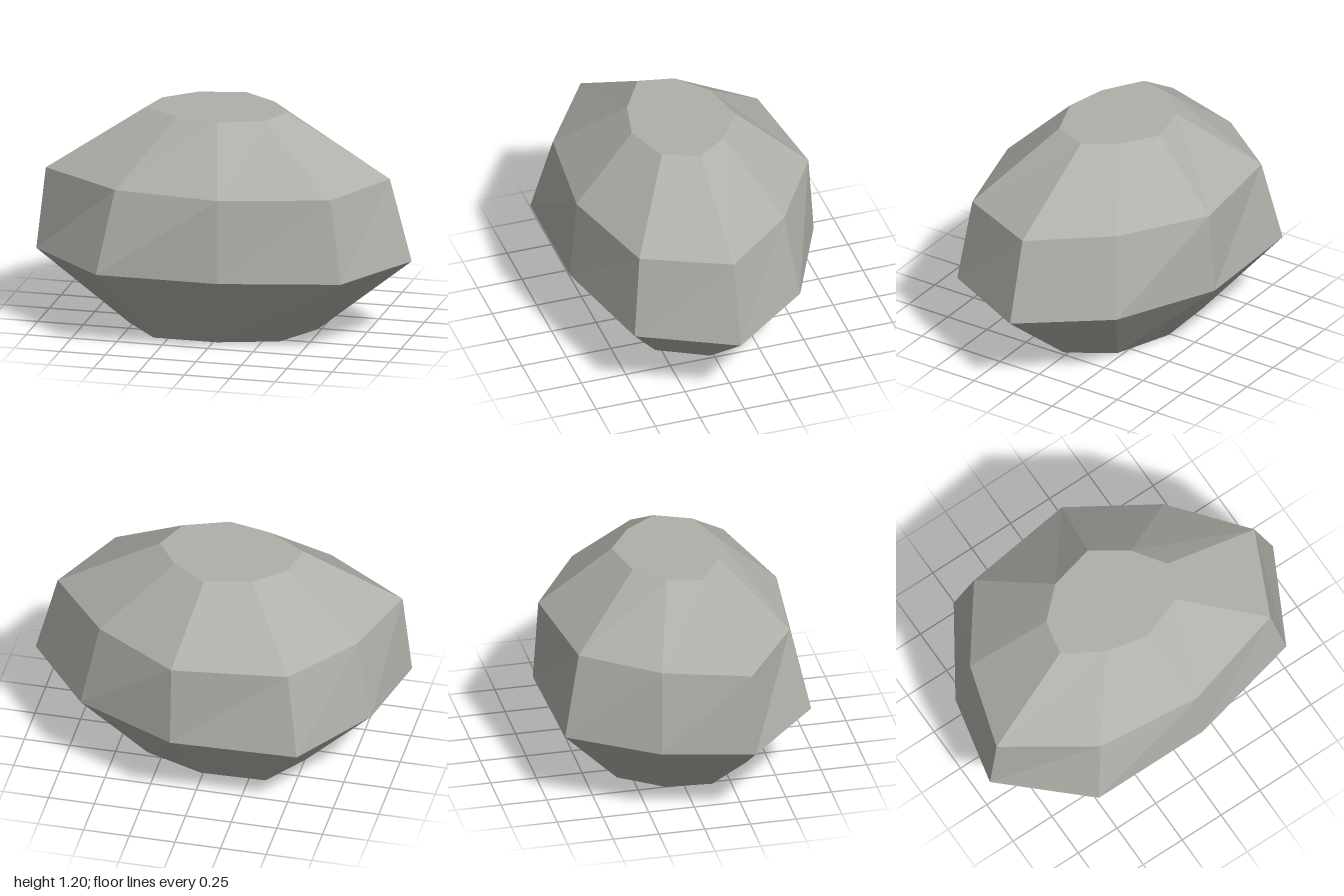
import * as THREE from 'three';

// Horizontal cross-sections of the boulder, bottom to top: [x, z] corners,
// running counter-clockwise as seen from above.
const SECTIONS = [
  { y: 0, ring: [[0.48, 0.02], [0.33, -0.22], [0.01, -0.34], [-0.34, -0.33], [-0.5, -0.1], [-0.52, 0.15], [-0.33, 0.38], [0.02, 0.38], [0.34, 0.28]] },
  { y: 0.42, ring: [[1, 0.02], [0.65, -0.43], [0.1, -0.69], [-0.59, -0.67], [-0.89, -0.21], [-1, 0.28], [-0.57, 0.68], [0.1, 0.68], [0.74, 0.53]] },
  { y: 0.87, ring: [[0.88, 0.02], [0.56, -0.37], [0.1, -0.66], [-0.52, -0.58], [-0.81, -0.19], [-0.95, 0.27], [-0.49, 0.58], [0.09, 0.64], [0.67, 0.48]] },
  { y: 1.2, ring: [[0.32, 0.02], [0.2, -0.15], [0.01, -0.28], [-0.24, -0.22], [-0.4, -0.07], [-0.44, 0.12], [-0.23, 0.25], [0, 0.3], [0.24, 0.21]] },
];

function boulderGeometry() {
  const sides = SECTIONS[0].ring.length;
  const positions = [];
  const corner = (level, i) => {
    const { y, ring } = SECTIONS[level];
    const [x, z] = ring[i % sides];
    return [x, y, z];
  };
  const triangle = (a, b, c) => positions.push(...a, ...b, ...c);

  // Faceted bands between neighbouring sections
  for (let k = 0; k < SECTIONS.length - 1; k++) {
    for (let i = 0; i < sides; i++) {
      triangle(corner(k, i), corner(k, i + 1), corner(k + 1, i + 1));
      triangle(corner(k, i), corner(k + 1, i + 1), corner(k + 1, i));
    }
  }

  // Flat top and underside
  const top = SECTIONS.length - 1;
  for (let i = 1; i < sides - 1; i++) {
    triangle(corner(top, 0), corner(top, i), corner(top, i + 1));
    triangle(corner(0, 0), corner(0, i + 1), corner(0, i));
  }

  const geometry = new THREE.BufferGeometry();
  geometry.setAttribute('position', new THREE.Float32BufferAttribute(positions, 3));
  geometry.computeVertexNormals(); // unshared corners give flat facets
  return geometry;
}

export function createModel() {
  const stone = new THREE.MeshStandardMaterial({ color: 0xb0b0aa });
  stone.name = 'stoneGrey';

  const boulder = new THREE.Mesh(boulderGeometry(), stone);
  boulder.name = 'boulder';

  const model = new THREE.Group();
  model.name = 'rock';
  model.add(boulder);
  return model;
}
